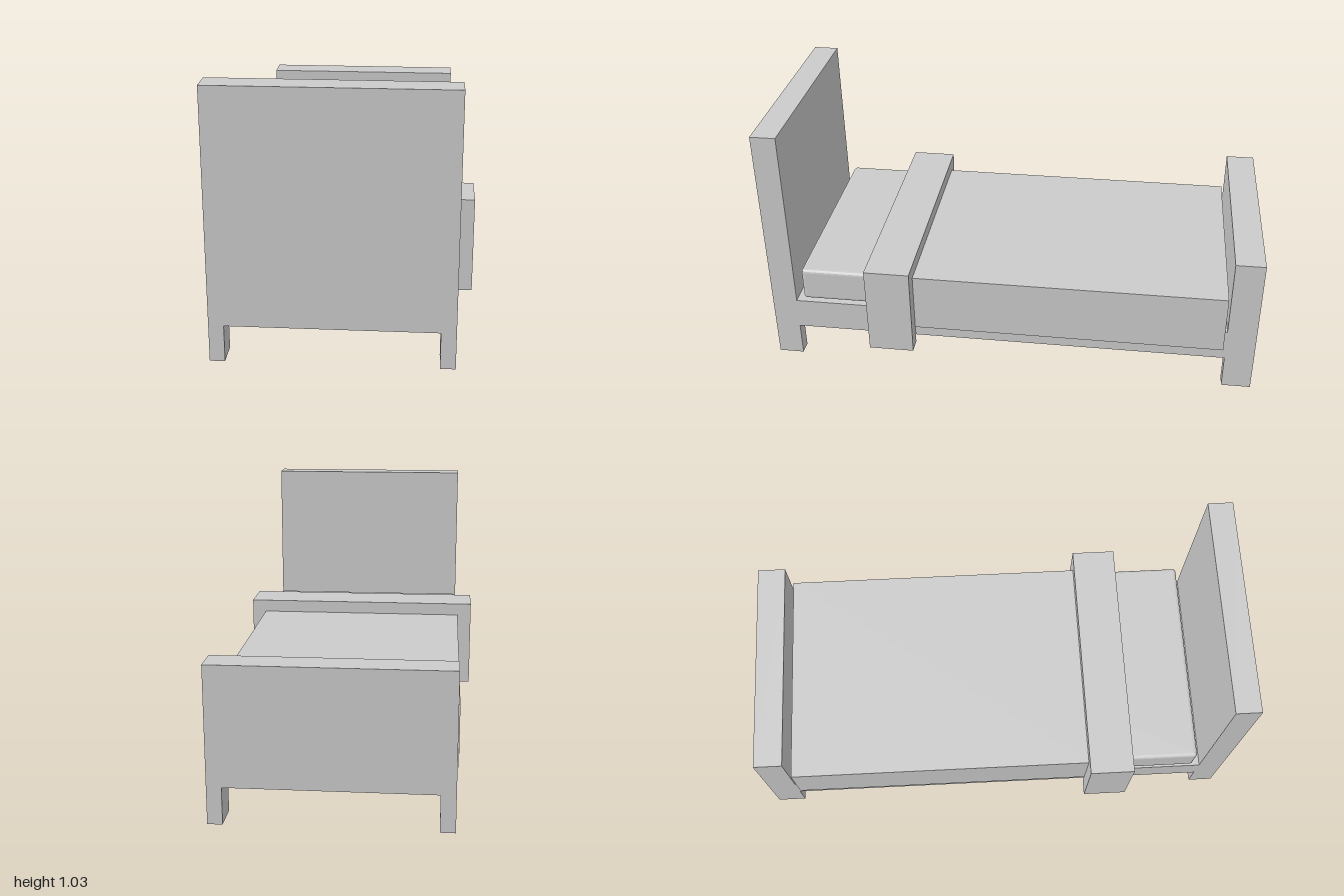
import * as THREE from 'three';
import { RoundedBoxGeometry } from 'three/addons/geometries/RoundedBoxGeometry.js';

const material = new THREE.MeshStandardMaterial({ color: 0xcccccc, flatShading: true });
const sheetMaterial = new THREE.MeshStandardMaterial({ color: 0xcccccc, flatShading: true, side: THREE.DoubleSide });

const HALF = 0.444;        // half width of the bedstead
const RAIL_BOTTOM = 0.142; // underside of frame and boards

function addMesh(parent, name, geometry, mat = material) {
  const mesh = new THREE.Mesh(geometry, mat);
  mesh.name = name;
  parent.add(mesh);
  return mesh;
}

// Extrude an x/y outline between two z positions
function extrudeZ(points, z0, z1) {
  const shape = new THREE.Shape(points.map(([x, y]) => new THREE.Vector2(x, y)));
  return new THREE.ExtrudeGeometry(shape, { depth: z1 - z0, bevelEnabled: false }).translate(0, 0, z0);
}

// End board with two short legs cut from the same panel
function endBoard(height, z0, z1) {
  const leg = 0.388;
  return extrudeZ([
    [-HALF, 0], [-leg, 0], [-leg, RAIL_BOTTOM], [leg, RAIL_BOTTOM],
    [leg, 0], [HALF, 0], [HALF, height], [-HALF, height],
  ], z0, z1);
}

// Open sheet hanging over both sides, swept along z
function drapedSheet(points, z0, z1) {
  const positions = [];
  for (let i = 0; i < points.length - 1; i++) {
    const [ax, ay] = points[i], [bx, by] = points[i + 1];
    positions.push(ax, ay, z0, ax, ay, z1, bx, by, z1, ax, ay, z0, bx, by, z1, bx, by, z0);
  }
  const geometry = new THREE.BufferGeometry();
  geometry.setAttribute('position', new THREE.Float32BufferAttribute(positions, 3));
  geometry.computeVertexNormals();
  return geometry;
}

export function createModel() {
  const bed = new THREE.Group();
  bed.name = 'bed';

  // Bedstead
  addMesh(bed, 'headboard', endBoard(1.034, 0.898, 1));
  addMesh(bed, 'footboard', endBoard(0.597, -1, -0.882));
  addMesh(bed, 'frame', new THREE.BoxGeometry(HALF * 2, 0.13, 1.78))
    .position.set(0, RAIL_BOTTOM + 0.065, 0.008);

  // Mattress with softened edges, just above the frame
  addMesh(bed, 'mattress', new RoundedBoxGeometry(0.884, 0.141, 1.74, 2, 0.014))
    .position.set(0, 0.356, -0.005);

  // Blanket draped over the mattress
  const side = 0.451, top = 0.433;
  addMesh(bed, 'blanket', drapedSheet(
    [[side, 0.186], [side, top], [-side, top], [-side, 0.186]], -0.873, 0.396), sheetMaterial);

  // Thick folded-back band of the blanket
  const outer = 0.512, low = 0.108;
  addMesh(bed, 'blanketFold', extrudeZ([
    [-outer, low], [-0.449, low], [-0.449, top], [0.449, top],
    [0.449, low], [outer, low], [outer, 0.486], [-outer, 0.486],
  ], 0.396, 0.58));

  return bed;
}
